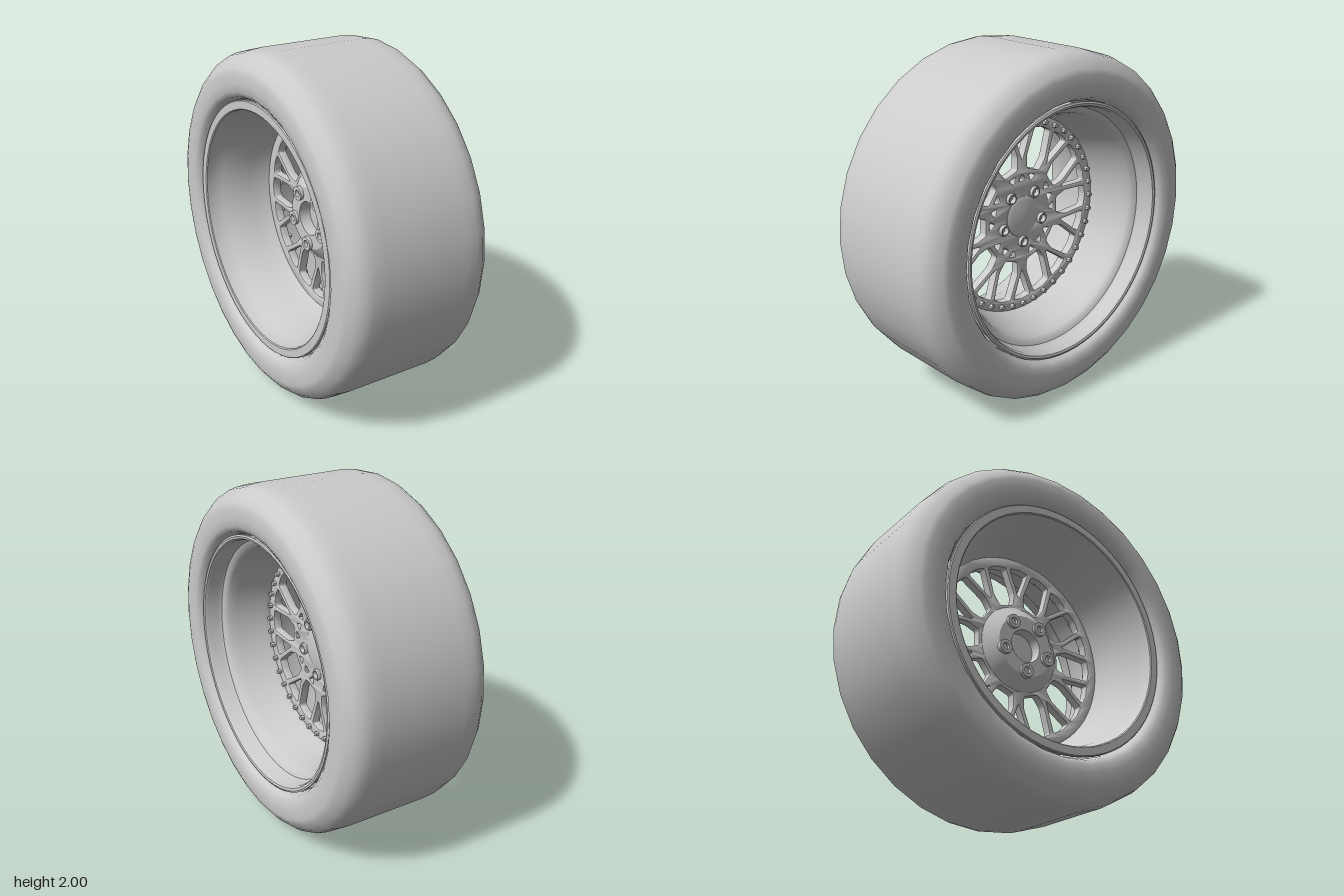
import * as THREE from 'three';
import { toCreasedNormals } from 'three/addons/utils/BufferGeometryUtils.js';

const material = new THREE.MeshStandardMaterial({ color: 0xcccccc, side: THREE.DoubleSide });
const rad = THREE.MathUtils.degToRad;
const polar = (r, deg) => new THREE.Vector2(r * Math.cos(rad(deg)), r * Math.sin(rad(deg)));

// Solid of revolution about the axle (local z); points are [radius, z]
function turned(name, points, segments, crease) {
  let geo = new THREE.LatheGeometry(points.map(([r, z]) => new THREE.Vector2(r, z)), segments);
  if (crease) geo = toCreasedNormals(geo, rad(crease));
  geo.rotateX(Math.PI / 2);
  const mesh = new THREE.Mesh(geo, material);
  mesh.name = name;
  return mesh;
}

// Closed polygon path with rounded corners
function roundedPath(corners, radius) {
  const path = new THREE.Path();
  corners.forEach((p, i) => {
    const n = corners.length;
    const toward = (q) => {
      const d = q.clone().sub(p);
      return d.setLength(Math.min(radius, d.length() * 0.45)).add(p);
    };
    const a = toward(corners[(i + n - 1) % n]);
    const b = toward(corners[(i + 1) % n]);
    if (i === 0) path.moveTo(a.x, a.y);
    else path.lineTo(a.x, a.y);
    path.quadraticCurveTo(p.x, p.y, b.x, b.y);
  });
  path.closePath();
  return path;
}

function circlePath(r, c = new THREE.Vector2()) {
  return new THREE.Path().absarc(c.x, c.y, r, 0, Math.PI * 2, true);
}

// Mesh-style centre: ten forked spokes cut out of one disc
function spokeDisc() {
  const shape = new THREE.Shape().absarc(0, 0, 0.585, 0, Math.PI * 2, false);
  const window = (pts, angle, radius) =>
    shape.holes.push(roundedPath(pts.map(([r, d]) => polar(r, d + angle)), radius));

  for (let i = 0; i < 10; i++) {
    const a = 18 + i * 36;
    // opening inside each fork
    window([[0.335, 0], [0.52, 7.2], [0.527, 0], [0.52, -7.2]], a, 0.015);
    // opening between neighbouring forks
    window([[0.285, -10], [0.36, -12], [0.52, -7.2], [0.527, 0],
      [0.52, 7.2], [0.36, 12], [0.285, 10]], a + 18, 0.015);
  }
  for (let i = 0; i < 5; i++) {
    const a = 18 + i * 72;
    // three triangular pockets between each pair of lugs
    window([[0.215, -7], [0.255, 0], [0.215, 7]], a, 0.012);
    for (const s of [-1, 1]) {
      window([[0.21, s * 18], [0.252, s * 12], [0.252, s * 24]], a + 0.01, 0.012);
    }
    shape.holes.push(circlePath(0.028, polar(0.157, a + 36 - 72)));
  }
  shape.holes.push(circlePath(0.1));

  const geo = new THREE.ExtrudeGeometry(shape, {
    depth: 0.04, curveSegments: 32, bevelThickness: 0.007,
    bevelSize: 0.006, bevelOffset: -0.006, bevelSegments: 2,
  });
  geo.translate(0, 0, -0.02);
  const mesh = new THREE.Mesh(toCreasedNormals(geo, rad(35)), material);
  mesh.name = 'spokeDisc';
  return mesh;
}

// Ring of bolts clamping the spoke disc to the barrel
function ringBolts() {
  const group = new THREE.Group();
  group.name = 'ringBolts';
  const head = new THREE.CylinderGeometry(0.014, 0.016, 0.026, 6).rotateX(Math.PI / 2).toNonIndexed();
  head.computeVertexNormals();
  for (let i = 0; i < 40; i++) {
    const p = polar(0.555, i * 9);
    const bolt = new THREE.Mesh(head, material);
    bolt.name = 'ringBolt';
    bolt.position.set(p.x, p.y, 0.036);
    group.add(bolt);
  }
  return group;
}

// Hollow lug sleeves, each with a nut seated inside
function lugs() {
  const group = new THREE.Group();
  group.name = 'lugs';
  for (let i = 0; i < 5; i++) {
    const p = polar(0.157, -90 + i * 72);
    const lug = new THREE.Group();
    lug.name = 'lug';
    lug.add(turned('lugSleeve', [
      [0.021, -0.11], [0.042, -0.11], [0.042, -0.02], [0.034, 0.02],
      [0.034, 0.04], [0.03, 0.046], [0.023, 0.046], [0.021, 0.04], [0.021, -0.11],
    ], 20, 30));
    const nut = new THREE.Mesh(new THREE.CylinderGeometry(0.016, 0.016, 0.05, 6).rotateX(Math.PI / 2), material);
    nut.name = 'lugNut';
    lug.add(nut);
    lug.position.set(p.x, p.y, 0);
    group.add(lug);
  }
  return group;
}

export function createModel() {
  const model = new THREE.Group();
  model.name = 'wheel';

  // Tyre: half section mirrored across the centre plane
  const side = [
    [0.735, 0.35], [0.74, 0.385], [0.757, 0.42], [0.785, 0.438], [0.83, 0.442],
    [0.885, 0.441], [0.915, 0.43], [0.955, 0.4], [0.983, 0.365], [0.994, 0.32], [1, 0.25],
  ];
  const tyreSection = [
    ...side.map(([r, z]) => [r, -z]), [1, 0], ...side.slice().reverse(),
    [0.78, 0.33], [0.78, -0.33], [0.735, -0.35],
  ];
  model.add(turned('tyre', tyreSection, 32));

  // Rim: deep stepped lip outside, tapered barrel inside
  model.add(turned('rim', [
    [0.59, -0.03], [0.615, -0.14], [0.655, -0.3], [0.672, -0.33], [0.68, -0.405], [0.686, -0.41],
    [0.73, -0.41], [0.735, -0.405], [0.735, -0.39], [0.705, -0.38], [0.7, -0.33],
    [0.66, -0.25], [0.62, -0.05], [0.62, 0.08], [0.66, 0.24], [0.715, 0.31], [0.72, 0.385],
    [0.735, 0.395], [0.735, 0.408], [0.725, 0.412], [0.712, 0.408], [0.703, 0.39],
    [0.7, 0.325], [0.69, 0.305], [0.665, 0.295], [0.65, 0.275], [0.638, 0.225],
    [0.615, 0.14], [0.595, 0.06], [0.585, 0.03], [0.585, -0.02], [0.59, -0.03],
  ], 64, 32));

  model.add(spokeDisc(), ringBolts(), lugs());

  // Mounting hub behind the spokes, with an open bore
  model.add(turned('hub', [
    [0.1, -0.09], [0.185, -0.09], [0.2, -0.08], [0.265, -0.025], [0.265, -0.012],
    [0.1, -0.012], [0.1, -0.09],
  ], 40, 30));

  // Shallow domed centre cap
  model.add(turned('centreCap', [
    [0, -0.02], [0.11, -0.02], [0.125, 0.022], [0.122, 0.03], [0.112, 0.034],
    [0.095, 0.037], [0.05, 0.044], [0, 0.046],
  ], 40, 30));

  // Axle along x, outer face toward +x, standing on the ground
  model.rotation.y = Math.PI / 2;
  model.position.y = 1;
  const root = new THREE.Group();
  root.name = 'wheelAssembly';
  root.add(model);
  return root;
}
